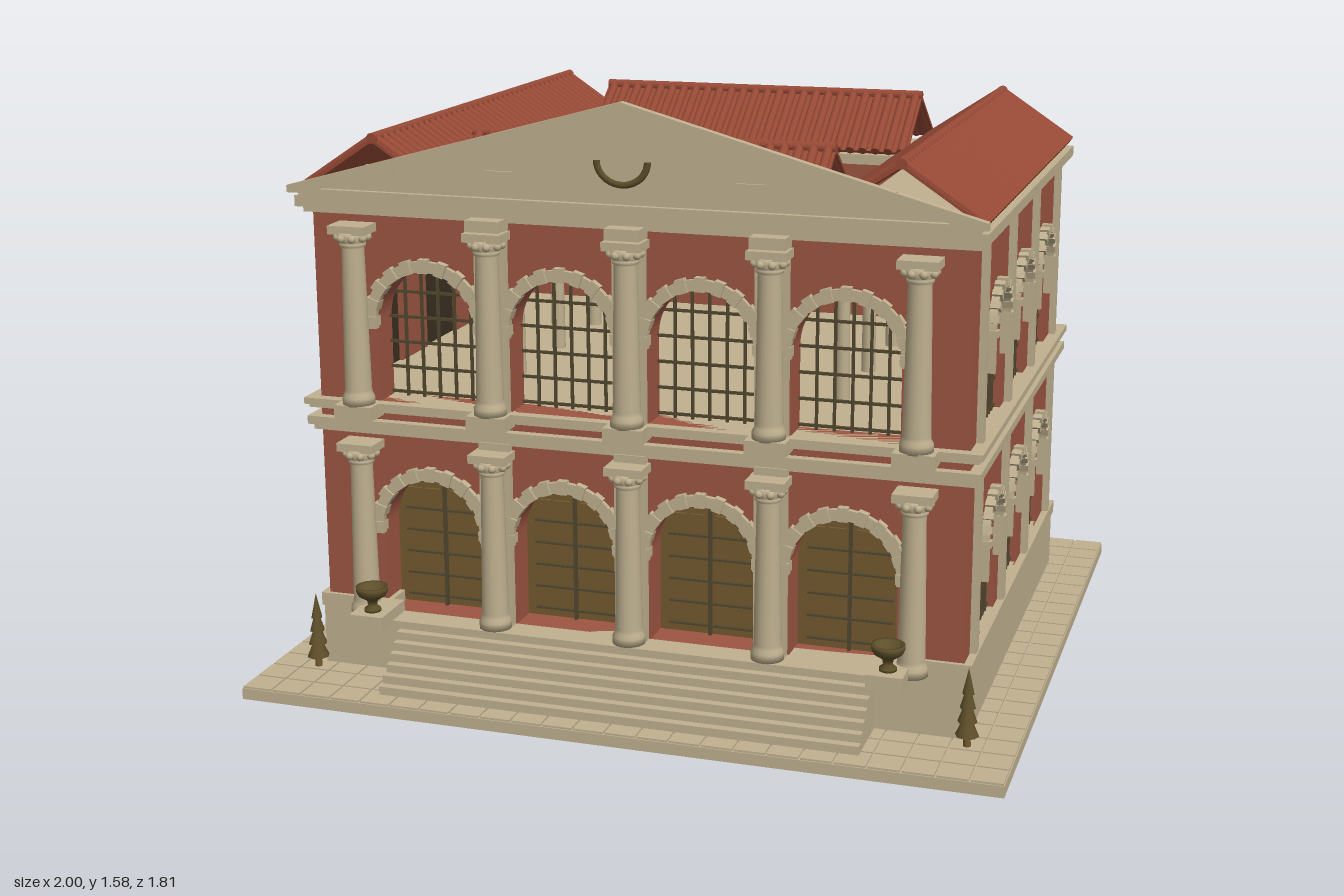
import * as THREE from 'three';
import { mergeGeometries } from 'three/addons/utils/BufferGeometryUtils.js';

const mat = (name, color, side = THREE.FrontSide) => {
  const m = new THREE.MeshStandardMaterial({ color, side });
  m.name = name;
  return m;
};

export function createModel() {
  const model = new THREE.Group();
  model.name = 'arcadedBuilding';
  const stone = mat('sandstone', 0xbfb08f);
  const brick = mat('redPlaster', 0x9d5542);
  const tile = mat('roofTile', 0x984a36);
  const wood = mat('doorWood', 0x73592f);
  const iron = mat('windowBars', 0x51472f);
  const pane = mat('darkPane', 0x3a3022);
  const leaf = mat('foliage', 0x5e4f2a);

  const add = (parent, name, geo, material, x = 0, y = 0, z = 0) => {
    const m = new THREE.Mesh(geo, material);
    m.name = name;
    m.position.set(x, y, z);
    parent.add(m);
    return m;
  };
  // Box given by its lower and upper limits
  const boxGeo = (x0, x1, y0, y1, z0, z1) =>
    new THREE.BoxGeometry(x1 - x0, y1 - y0, z1 - z0).translate((x0 + x1) / 2, (y0 + y1) / 2, (z0 + z1) / 2);
  const box = (parent, name, material, ...b) => add(parent, name, boxGeo(...b), material);
  const extrude = (shape, depth) =>
    new THREE.ExtrudeGeometry(shape, { depth, bevelEnabled: false, curveSegments: 16 });
  const rect = (T, x0, x1, y0, y1) =>
    new T([[x0, y0], [x1, y0], [x1, y1], [x0, y1]].map(p => new THREE.Vector2(...p)));
  const archOutline = (T, x, y, r, spring) => {
    const p = new T();
    p.moveTo(x - r, y);
    p.lineTo(x + r, y);
    p.lineTo(x + r, spring);
    p.absarc(x, spring, r, 0, Math.PI, false);
    p.closePath();
    return p;
  };

  // Arched surround made of a half ring with projecting blocks
  const archTrim = (parent, x, spring, r, w, z, depth, leg) => {
    const s = new THREE.Shape();
    s.moveTo(x + r, spring - leg);
    s.lineTo(x + r + w, spring - leg);
    s.lineTo(x + r + w, spring);
    s.absarc(x, spring, r + w, 0, Math.PI, false);
    s.lineTo(x - r - w, spring - leg);
    s.lineTo(x - r, spring - leg);
    s.lineTo(x - r, spring);
    s.absarc(x, spring, r, Math.PI, 0, true);
    const parts = [];
    for (let i = 0; i <= 10; i++) {
      const a = (i / 10) * Math.PI;
      parts.push(new THREE.BoxGeometry(w + 0.008, r * 0.19, depth + 0.012)
        .translate(r + w / 2 + 0.002, 0, 0).rotateZ(a).translate(x, spring, z + depth / 2));
    }
    add(parent, 'archSurround', extrude(s, depth), stone, 0, 0, z);
    add(parent, 'archBlocks', mergeGeometries(parts), stone);
  };

  // Grid of bars clipped to an arch
  const grille = (parent, x, y, r, spring, z, nv, nh) => {
    const parts = [], t = 0.0035;
    for (let i = 1; i <= nv; i++) {
      const u = -r + (2 * r * i) / (nv + 1);
      parts.push(boxGeo(x + u - t, x + u + t, y, spring + Math.sqrt(r * r - u * u), z - t, z + t));
    }
    for (let i = 0; i <= nh; i++) {
      const v = y + 0.01 + ((spring + r * 0.4 - y) * i) / nh;
      const h = v > spring ? Math.sqrt(r * r - (v - spring) ** 2) : r;
      parts.push(boxGeo(x - h, x + h, v - t, v + t, z - t, z + t));
    }
    add(parent, 'windowBars', mergeGeometries(parts), iron);
  };

  // Paved ground
  box(model, 'groundSlab', stone, -1, 1, 0, 0.03, -0.905, 0.905);
  const pavers = [];
  for (let i = 0; i < 24; i++) for (let j = 0; j < 22; j++) {
    const x = -1 + (i + 0.5) / 12, z = -0.905 + (j + 0.5) * 1.81 / 22;
    if (Math.abs(x) < 0.8 && Math.abs(z) < 0.63) continue;
    pavers.push(boxGeo(x - 0.039, x + 0.039, 0.029, 0.035, z - 0.038, z + 0.038));
  }
  add(model, 'pavers', mergeGeometries(pavers), stone);

  // Plinth, stairs and landing
  box(model, 'plinth', stone, -0.868, 0.868, 0.03, 0.195, -0.685, 0.68);
  box(model, 'landing', stone, -0.73, 0.73, 0.185, 0.2, 0.55, 0.745);
  for (let i = 0; i < 7; i++)
    box(model, 'step', stone, -0.635, 0.635, 0.03, 0.057 + i * 0.0215, 0.6, 0.848 - i * 0.023);

  // Front wall with eight arches
  const bays = [-0.548, -0.183, 0.183, 0.548], R = 0.136;
  const front = rect(THREE.Shape, -0.855, 0.855, 0.19, 1.3);
  const floors = [[0.2, 0.435], [0.772, 0.985]];
  for (const x of bays) for (const [y, s] of floors) {
    front.holes.push(archOutline(THREE.Path, x, y, R, s));
    archTrim(model, x, s, R, 0.028, 0.665, 0.02, 0.02);
  }
  add(model, 'frontWall', extrude(front, 0.08), brick, 0, 0, 0.59);

  // Timber doors below, open grilles above
  for (const x of bays) {
    add(model, 'door', extrude(archOutline(THREE.Shape, x, 0.2, R, 0.435), 0.02), wood, 0, 0, 0.57);
    const panels = [];
    for (const s of [-1, 1]) for (let k = 0; k < 5; k++)
      for (const d of [0.035, 0.085])
        panels.push(boxGeo(x + s * d - 0.02, x + s * d + 0.02, 0.235 + k * 0.06, 0.28 + k * 0.06, 0.585, 0.598));
    add(model, 'doorPanels', mergeGeometries(panels), wood);
    const rails = [boxGeo(x - 0.004, x + 0.004, 0.2, 0.56, 0.585, 0.602)];
    for (let k = 0; k < 5; k++) rails.push(boxGeo(x - 0.11, x + 0.11, 0.221 + k * 0.06, 0.226 + k * 0.06, 0.585, 0.6));
    add(model, 'doorRails', mergeGeometries(rails), iron);
    grille(model, x, 0.772, R, 0.985, 0.6, 5, 4);
  }

  // Piers and columns
  const P = a => a.map(p => new THREE.Vector2(...p));
  const column = (x, y, h) => {
    const g = new THREE.Group();
    g.name = 'column';
    g.position.set(x, y, 0.705);
    model.add(g);
    const shaft = P([[0, 0], [0.042, 0], [0.042, 0.02], [0.036, 0.03], [0.035, 0.04], [0.029, h - 0.06],
      [0.034, h - 0.055], [0.034, h - 0.048], [0.03, h - 0.045], [0.044, h - 0.018], [0, h - 0.018]]);
    add(g, 'shaft', new THREE.LatheGeometry(shaft, 20), stone);
    box(g, 'abacus', stone, -0.05, 0.05, h - 0.022, h, -0.04, 0.04);
    for (let i = 0; i < 8; i++) {
      const a = (i + 0.5) * Math.PI / 4;
      add(g, 'capitalLeaf', new THREE.SphereGeometry(0.011, 8, 6), stone, Math.cos(a) * 0.038, h - 0.033, Math.sin(a) * 0.038);
    }
  };
  [-0.73, -0.365, 0, 0.365, 0.73].forEach((x, i) => {
    column(x, 0.2, 0.47);
    column(x, 0.77, 0.47);
    box(model, 'columnBase', stone, x - 0.052, x + 0.052, 0.735, 0.772, 0.66, 0.745);
    if (i % 4 === 0) return;
    for (const [a, b] of [[0.2, 0.69], [0.77, 1.27]])
      box(model, 'pier', stone, x - 0.042, x + 0.042, a, b, 0.585, 0.69);
    box(model, 'entablatureBlock', stone, x - 0.045, x + 0.045, 1.243, 1.272, 0.66, 0.735);
  });

  // Back wall and side walls with three windows on each floor
  box(model, 'backWall', brick, -0.855, 0.855, 0.19, 1.3, -0.68, -0.64);
  for (const s of [-1, 1]) {
    const g = new THREE.Group();
    g.name = s > 0 ? 'leftSide' : 'rightSide';
    g.rotation.y = s * Math.PI / 2;
    model.add(g);
    const wall = rect(THREE.Shape, -0.64, 0.64, 0.19, 1.3);
    for (const u of [-0.366, 0, 0.366]) for (const [y, sp] of [[0.23, 0.475], [0.77, 1.015]]) {
      wall.holes.push(archOutline(THREE.Path, u, y, 0.1, sp));
      archTrim(g, u, sp, 0.097, 0.016, 0.85, 0.025, 0.1);
      add(g, 'windowPane', extrude(archOutline(THREE.Shape, u, y, 0.1, sp), 0.009), pane, 0, 0, 0.82);
      grille(g, u, y, 0.1, sp, 0.838, 5, 4);
    }
    add(g, 'sideWall', extrude(wall, 0.045), brick, 0, 0, 0.81);
    for (const u of [-0.585, -0.19, 0.19, 0.585]) for (const [a, b] of [[0.22, 0.69], [0.77, 1.27]])
      box(g, 'sidePilaster', stone, u - 0.016, u + 0.016, a, b, 0.84, 0.872);
    box(g, 'plinthMoulding', stone, -0.68, 0.68, 0.195, 0.23, 0.84, 0.875);
  }
  for (const s of [-1, 1])
    box(model, 'frontPlinthMoulding', stone, s * 0.77 - 0.1, s * 0.77 + 0.1, 0.195, 0.23, 0.6, 0.682);

  // Storey bands and upper floor
  for (const [y0, y1, x, z] of [[0.685, 0.7, 0.872, 0.685], [0.7, 0.722, 0.885, 0.695], [0.745, 0.755, 0.88, 0.69], [0.755, 0.772, 0.89, 0.7]])
    box(model, 'storeyBand', stone, -x, x, y0, y1, -z, z);

  // Hollow cornice, ceiling deck and courtyard beam
  const ring = (name, x, z, hx, hz, y, h) => {
    const s = rect(THREE.Shape, -x, x, -z, z);
    s.holes.push(rect(THREE.Path, -hx, hx, -hz, hz));
    add(model, name, extrude(s, h).rotateX(-Math.PI / 2), stone, 0, y, 0);
  };
  ring('corniceLower', 0.872, 0.69, 0.82, 0.6, 1.262, 0.015);
  ring('cornice', 0.888, 0.705, 0.5, 0.36, 1.277, 0.028);
  ring('courtBeam', 0.47, 0.32, 0.435, 0.285, 1.15, 0.04);
  for (const x of [-0.45, 0.45]) for (const z of [-0.3, 0, 0.3])
    add(model, 'courtPost', new THREE.CylinderGeometry(0.016, 0.02, 0.39, 12), stone, x, 0.962, z);

  // Open-ended tiled gable roofs: thin slopes, round ribs and a ridge roll
  const roof = (name, length, half, x, z, turn) => {
    const g = new THREE.Group();
    g.name = name;
    g.position.set(x, 1.318, z);
    g.rotation.y = turn;
    model.add(g);
    const rise = 0.135, L = Math.hypot(half, rise), n = Math.round(length / 0.036);
    for (const s of [-1, 1]) {
      const parts = [new THREE.BoxGeometry(L, 0.008, length)];
      for (let i = 0; i < n; i++)
        parts.push(new THREE.CylinderGeometry(0.0125, 0.0125, L, 8).rotateZ(Math.PI / 2)
          .translate(0, 0.004, -length / 2 + (i + 0.5) * length / n));
      const m = add(g, 'tiledSlope', mergeGeometries(parts), tile, s * half / 2, rise / 2, 0);
      m.rotation.z = -s * Math.atan2(rise, half);
    }
    add(g, 'ridgeRoll', new THREE.CylinderGeometry(0.014, 0.014, length, 10).rotateX(Math.PI / 2), tile, 0, rise + 0.004, 0);
  };
  for (const s of [-1, 1]) {
    roof('sideRoof', 1.405, 0.203, s * 0.675, -0.012, 0);
    roof(s > 0 ? 'frontRoof' : 'backRoof', 0.95, s > 0 ? 0.185 : 0.195, 0, s > 0 ? 0.505 : -0.523, Math.PI / 2);
  }

  // Pediment with raised rim, plaques and garland
  const gable = (T, w, y0, y1, y2) => new T(P([[-w, y0], [w, y0], [w, y1], [0, y2], [-w, y1]]));
  add(model, 'tympanum', extrude(gable(THREE.Shape, 0.875, 1.318, 1.332, 1.562), 0.03), stone, 0, 0, 0.69);
  const rim = gable(THREE.Shape, 0.892, 1.318, 1.336, 1.58);
  rim.holes.push(gable(THREE.Path, 0.8, 1.33, 1.338, 1.553));
  add(model, 'pedimentRim', extrude(rim, 0.025), stone, 0, 0, 0.712);
  box(model, 'pedimentBase', stone, -0.87, 0.87, 1.3, 1.322, 0.66, 0.715);
  for (const x of [-0.64, -0.32, 0.32, 0.64])
    box(model, 'plaque', stone, x - 0.036, x + 0.036, 1.36, 1.397, 0.715, 0.727);
  add(model, 'garland', new THREE.TorusGeometry(0.065, 0.009, 8, 20, Math.PI).rotateZ(Math.PI).scale(1, 0.9, 0.6), leaf, 0, 1.437, 0.724);

  // Urns on pedestals, and corner conifers
  const urn = P([[0, 0], [0.022, 0], [0.022, 0.008], [0.012, 0.016], [0.014, 0.03], [0.036, 0.045],
    [0.042, 0.058], [0.042, 0.068], [0.034, 0.068], [0.026, 0.052], [0, 0.048]]);
  for (const s of [-1, 1]) {
    box(model, 'pedestal', stone, s * 0.685 - 0.046, s * 0.685 + 0.046, 0.19, 0.23, 0.67, 0.81);
    add(model, 'urn', new THREE.LatheGeometry(urn, 20), leaf, s * 0.685, 0.229, 0.765);
    const tree = new THREE.Group();
    tree.name = 'conifer';
    tree.position.set(s * 0.875, 0.035, 0.715);
    model.add(tree);
    add(tree, 'trunk', new THREE.CylinderGeometry(0.008, 0.01, 0.04, 8), wood, 0, 0.02, 0);
    for (let i = 0; i < 4; i++)
      add(tree, 'foliageTier', new THREE.ConeGeometry(0.03 - i * 0.005, 0.068, 8), leaf, 0, 0.062 + i * 0.036, 0);
  }
  return model;
}
